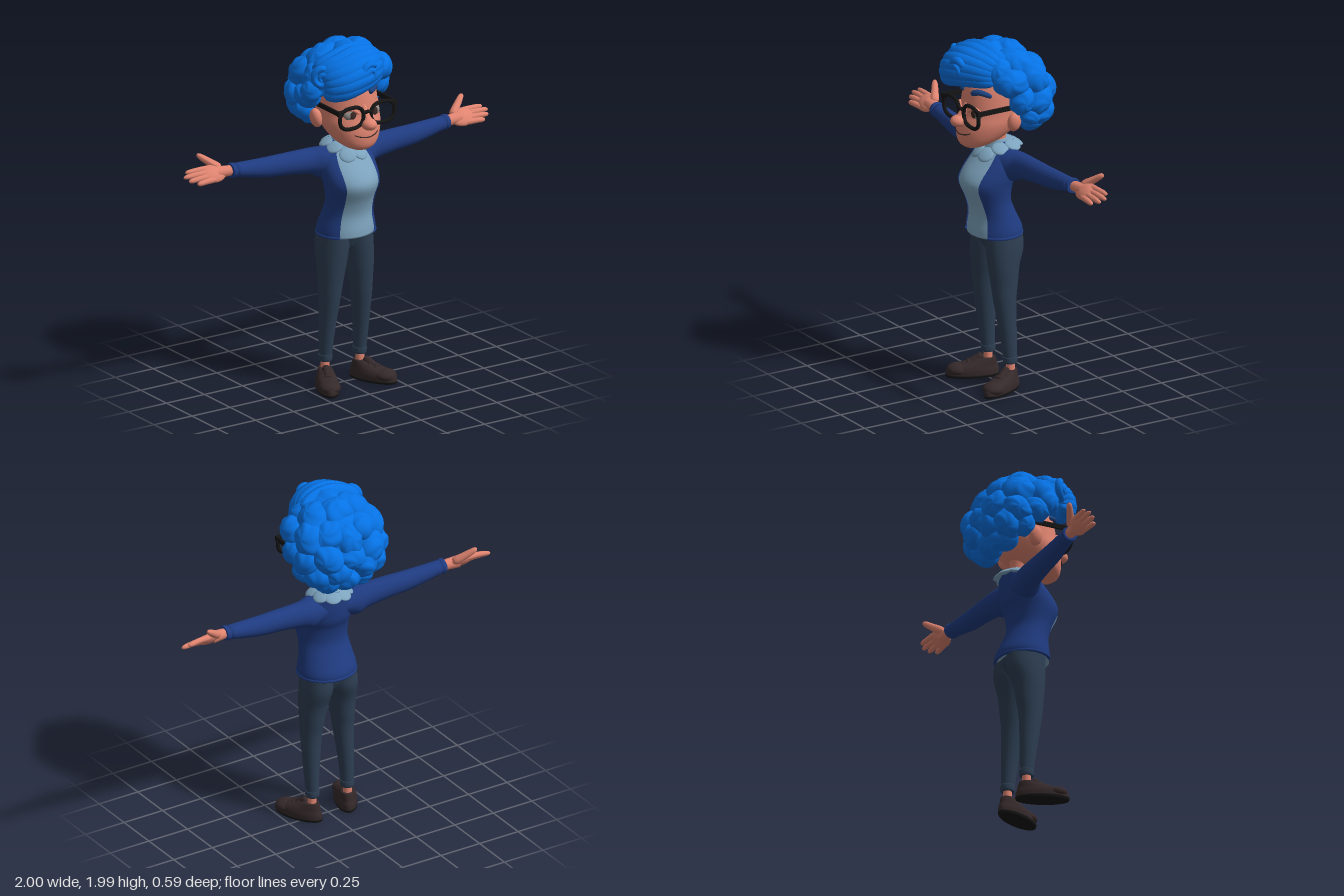
import * as THREE from 'three';

const mat = (name, color, side = THREE.FrontSide) => {
  const m = new THREE.MeshStandardMaterial({ color, side });
  m.name = name;
  return m;
};
const V = (x, y, z) => new THREE.Vector3(x, y, z);

// Lofted body: sections are [y, centreX, centreZ, radiusX, radiusZ], rising in y
function loft(secs, { a0 = 0, a1 = Math.PI * 2, grow = 0, n = 40, m = 40 } = {}) {
  const mid = new THREE.CatmullRomCurve3(secs.map(s => V(s[1], s[0], s[2])), false, 'catmullrom');
  const rad = new THREE.CatmullRomCurve3(secs.map(s => V(s[3], 0, s[4])), false, 'catmullrom');
  const closed = a1 - a0 > 6.28, cols = closed ? m : m + 1, pos = [], idx = [];
  const ring = (t, k) => {
    const c = mid.getPoint(t), r = rad.getPoint(t);
    for (let j = 0; j < cols; j++) {
      const a = a0 + (a1 - a0) * j / m;
      pos.push(c.x + k * (r.x + grow) * Math.sin(a), c.y, c.z + k * (r.z + grow) * Math.cos(a));
    }
  };
  if (closed) ring(0, 0.001);
  for (let i = 0; i <= n; i++) ring(i / n, 1);
  if (closed) ring(1, 0.001);
  const rows = pos.length / 3 / cols;
  for (let i = 0; i < rows - 1; i++) for (let j = 0; j < m; j++) {
    const a = i * cols + j, b = i * cols + (j + 1) % cols;
    idx.push(a, b, b + cols, a, b + cols, a + cols);
  }
  const g = new THREE.BufferGeometry();
  g.setAttribute('position', new THREE.Float32BufferAttribute(pos, 3));
  g.setIndex(idx);
  g.computeVertexNormals();
  return g;
}

// Tube whose radius follows r(t); used for fingers, locks and brows
function taper(points, r, n = 24, m = 12) {
  const curve = new THREE.CatmullRomCurve3(points);
  const g = new THREE.TubeGeometry(curve, n, 1, m), p = g.attributes.position, v = V(0, 0, 0);
  for (let i = 0; i <= n; i++) {
    const c = curve.getPointAt(i / n);
    for (let j = 0; j <= m; j++) {
      const k = i * (m + 1) + j;
      v.fromBufferAttribute(p, k).sub(c).multiplyScalar(r(i / n)).add(c);
      p.setXYZ(k, v.x, v.y, v.z);
    }
  }
  g.computeVertexNormals();
  return g;
}
const rounded = (r0, r1 = r0) => t => (r0 + (r1 - r0) * t) * Math.pow(Math.max(0.0001, 1 - Math.pow(Math.abs(2 * t - 1), 6)), 0.5);

export function createModel() {
  const root = new THREE.Group();
  root.name = 'woman';
  const hair = mat('hair blue', 0x0672e4), skin = mat('skin', 0xdf8470), shirt = mat('shirt light blue', 0x7da3bd);
  const cardigan = mat('cardigan navy', 0x1f3b80, THREE.DoubleSide), trousers = mat('trousers slate', 0x2d3e52);
  const shoe = mat('shoe brown', 0x35292a), black = mat('frame black', 0x151515), browMat = mat('brow blue', 0x1c427f);
  const white = mat('eye grey', 0x928a86), dark = mat('iris dark', 0x3a2824);
  const add = (name, geo, material, parent = root) => {
    const mesh = new THREE.Mesh(geo, material);
    mesh.name = name;
    parent.add(mesh);
    return mesh;
  };
  const ball = (name, p, s, material, parent = root) => {
    const mesh = add(name, new THREE.SphereGeometry(1, 28, 20), material, parent);
    mesh.position.set(...p);
    mesh.scale.set(...s);
    return mesh;
  };

  // Shirt body with the open cardigan shell over it
  const torso = [[0.88, 0, 0.015, 0.163, 0.142], [0.92, 0, 0.015, 0.162, 0.14], [1.0, 0, 0.03, 0.145, 0.117],
    [1.08, 0, 0.055, 0.137, 0.114], [1.17, 0, 0.07, 0.15, 0.14], [1.23, 0, 0.05, 0.157, 0.144],
    [1.3, 0, 0.015, 0.155, 0.117], [1.35, 0, -0.01, 0.135, 0.092], [1.385, 0, -0.03, 0.1, 0.072], [1.41, 0, -0.035, 0.06, 0.055]];
  add('shirt', loft(torso), shirt);
  add('cardigan', loft(torso, { a0: 0.72, a1: Math.PI * 2 - 0.72, grow: 0.006 }), cardigan);
  const hem = [];
  for (let i = 0; i <= 24; i++) {
    const a = 0.72 + (Math.PI * 2 - 1.44) * i / 24;
    hem.push(V(0.165 * Math.sin(a), 0.885, 0.015 + 0.145 * Math.cos(a)));
  }
  add('cardiganHem', taper(hem, () => 0.009, 60, 8), cardigan);

  // Scalloped collar lying on the shoulders, with a band at the neck
  for (let i = 0; i < 8; i++) {
    const a = (i + 0.5) * Math.PI / 4, f = Math.cos(a), front = Math.max(0, f) ** 2;
    const p = V((0.085 + 0.02 * front) * Math.sin(a), 1.39 - 0.05 * front, -0.022 + (f > 0 ? 0.125 : 0.085) * f);
    const petal = ball('collarPetal', p.toArray(), [0.048, 0.046, 0.014], shirt);
    petal.lookAt(p.x + Math.sin(a), p.y + 2 - 1.1 * front, p.z + f);
  }
  add('collarBand', loft([[1.37, 0, -0.02, 0.085, 0.08], [1.395, 0, -0.02, 0.07, 0.068], [1.42, 0, -0.02, 0.06, 0.058]], { n: 10 }), shirt);

  // Pelvis
  add('trouserSeat', loft([[0.775, 0, 0, 0.04, 0.045], [0.8, 0, 0, 0.1, 0.075], [0.85, 0, 0, 0.145, 0.1], [0.9, 0, 0.005, 0.155, 0.115]]), trousers);

  for (const s of [1, -1]) {
    // Leg, ankle and shoe
    add('trouserLeg', loft([[0.15, 0.113, -0.018, 0.034, 0.037], [0.3, 0.112, -0.007, 0.043, 0.048], [0.5, 0.104, 0.01, 0.058, 0.065],
      [0.6, 0.098, 0.01, 0.067, 0.077], [0.7, 0.09, 0.009, 0.079, 0.09], [0.8, 0.08, -0.002, 0.088, 0.11], [0.89, 0.072, 0, 0.087, 0.112]]
      .map(q => [q[0], q[1] * s, ...q.slice(2)])), trousers);
    add('trouserCuff', loft([[0.142, 0.113 * s, -0.018, 0.035, 0.038], [0.155, 0.113 * s, -0.018, 0.038, 0.041], [0.18, 0.113 * s, -0.017, 0.038, 0.041]], { n: 10 }), trousers);
    const ankle = add('ankle', new THREE.CylinderGeometry(0.024, 0.026, 0.12, 24), skin);
    ankle.position.set(0.115 * s, 0.11, -0.018);
    const foot = new THREE.Group();
    foot.name = 'shoe';
    foot.position.set(0.115 * s, 0, -0.02);
    foot.rotation.y = 0.42 * s;
    root.add(foot);
    add('shoeSole', loft([[0, 0, 0.088, 0.06, 0.146], [0.014, 0, 0.088, 0.063, 0.15]], { n: 4 }), black, foot);
    add('shoeUpper', loft([[0.012, 0, 0.088, 0.061, 0.148], [0.04, 0, 0.086, 0.061, 0.144], [0.062, 0, 0.075, 0.055, 0.125],
      [0.085, 0, 0.035, 0.045, 0.08], [0.105, 0, 0.008, 0.036, 0.047]], { n: 24 }), shoe, foot);
    ball('shoeToe', [0, 0.04, 0.165], [0.06, 0.036, 0.064], shoe, foot);
    add('shoeTongue', taper([V(0, 0.07, 0.12), V(0, 0.098, 0.06), V(0, 0.118, 0.03)], rounded(0.018, 0.024)), shoe, foot);
    for (const [z, y] of [[0.075, 0.1], [0.112, 0.088]]) {
      add('shoeLace', taper([V(-0.045, y - 0.035, z), V(0, y, z), V(0.045, y - 0.035, z)], rounded(0.01), 16, 8), shoe, foot);
    }

    // Sleeve and cuff, lofted upright then turned sideways
    const sleeve = [[0.05, 1.302, -0.012, 0.065, 0.085], [0.1, 1.297, -0.014, 0.081, 0.088], [0.15, 1.294, -0.027, 0.087, 0.08], [0.21, 1.307, -0.04, 0.073, 0.064],
      [0.35, 1.317, -0.045, 0.063, 0.056], [0.5, 1.324, -0.05, 0.056, 0.051], [0.69, 1.346, -0.056, 0.038, 0.042]];
    const turn = secs => loft(secs.map(q => [q[0], -s * q[1], q[2], q[3], q[4]])).rotateZ(-s * Math.PI / 2);
    add('sleeve', turn(sleeve), cardigan);
    add('sleeveCuff', turn([[0.685, 1.347, -0.056, 0.038, 0.042], [0.695, 1.347, -0.056, 0.043, 0.046], [0.712, 1.347, -0.056, 0.04, 0.043]]), cardigan);

    // Hand: palm turned up and forward, thumb at the back
    const hand = new THREE.Group();
    hand.name = 'hand';
    root.add(hand);
    const P = (x, y, z) => V(x * s, y, z);
    add('wrist', taper([P(0.68, 1.347, -0.056), P(0.74, 1.349, -0.06), P(0.8, 1.35, -0.065)], t => 0.028 + 0.006 * t), skin, hand);
    ball('palm', [0.815 * s, 1.349, -0.065], [0.077, 0.056, 0.026], skin, hand).rotation.x = -0.82;
    add('thumb', taper([P(0.76, 1.362, -0.076), P(0.825, 1.41, -0.118), P(0.873, 1.448, -0.147)], rounded(0.027, 0.015)), skin, hand);
    [[0.975, 1.37, -0.105], [1.0, 1.353, -0.083], [0.985, 1.336, -0.055], [0.945, 1.32, -0.028]].forEach((tip, i) => {
      const u = 0.036 - i * 0.024, base = P(0.81, 1.349 + 0.68 * u, -0.065 - 0.73 * u), end = P(...tip);
      add('finger', taper([base, base.clone().lerp(end, 0.55).add(V(0, 0.003, 0.003)), end], rounded(0.0185, 0.014)), skin, hand);
    });

    // Ear
    ball('ear', [0.185 * s, 1.565, 0], [0.032, 0.056, 0.04], skin).rotation.z = -0.2 * s;
  }

  // Neck and head, the jaw rising towards the back
  add('neck', loft([[1.35, 0, -0.02, 0.055, 0.05], [1.42, 0, -0.01, 0.045, 0.045], [1.5, 0, 0, 0.055, 0.06]]), skin);
  const skull = [[1.403, 0, 0.165, 0.045, 0.035], [1.42, 0, 0.147, 0.085, 0.075], [1.45, 0, 0.113, 0.122, 0.12], [1.5, 0, 0.072, 0.152, 0.163],
    [1.55, 0, 0.045, 0.168, 0.18], [1.6, 0, 0.022, 0.17, 0.185], [1.68, 0, 0.01, 0.166, 0.186], [1.75, 0, 0, 0.155, 0.18],
    [1.84, 0, -0.01, 0.12, 0.14], [1.9, 0, -0.01, 0.03, 0.04]];
  add('head', loft(skull), skin);
  const faceZ = (x, y) => {
    const i = skull.findIndex(q => q[0] >= y), a = skull[i - 1], b = skull[i], t = (y - a[0]) / (b[0] - a[0]);
    const f = k => a[k] + (b[k] - a[k]) * t;
    return f(2) + f(4) * Math.sqrt(Math.max(0, 1 - (x / f(3)) ** 2));
  };
  const onFace = (x, y, lift = 0) => V(x, y, faceZ(x, y) + lift);
  ball('nose', [0, 1.562, 0.242], [0.042, 0.034, 0.048], skin);
  add('noseBridge', taper([V(0, 1.66, 0.185), V(0, 1.61, 0.21), V(0, 1.565, 0.24)], t => 0.014 + 0.014 * t), skin);
  add('mouth', taper([-0.08, -0.045, 0, 0.045, 0.08].map(x => onFace(x, 1.485 + 3 * x * x, 0.002)), rounded(0.0035), 30, 8), dark);

  // Eyes, brows and glasses
  for (const s of [1, -1]) {
    const eye = onFace(0.075 * s, 1.61);
    ball('eyeball', [eye.x, eye.y, eye.z - 0.018], [0.04, 0.032, 0.027], white);
    ball('iris', [eye.x - 0.006 * s, eye.y, eye.z + 0.005], [0.022, 0.023, 0.007], dark);
    add('eyelid', taper([-0.042, 0, 0.042].map(d => onFace(0.075 * s + d, d ? 1.615 : 1.643, 0.004)), rounded(0.009)), skin);
    add('eyebrow', taper([onFace(0.04 * s, 1.72, 0.006), onFace(0.085 * s, 1.735, 0.008), onFace(0.135 * s, 1.715, 0.006)], rounded(0.019, 0.013)), browMat);

    const rim = [];
    for (let i = 0; i < 24; i++) {
      const c = Math.cos(i * Math.PI / 12), d = Math.sin(i * Math.PI / 12);
      rim.push(V(0.102 * s + 0.077 * Math.sign(c) * Math.abs(c) ** 0.8, 1.61 + 0.06 * Math.sign(d) * Math.abs(d) ** 0.8, 0.225));
    }
    add('glassesRim', new THREE.TubeGeometry(new THREE.CatmullRomCurve3(rim, true), 64, 0.011, 10, true), black);
    const temple = add('glassesTemple', new THREE.BoxGeometry(0.012, 0.026, 0.28), black);
    temple.position.set(0.184 * s, 1.65, 0.092);
    const hinge = add('glassesHinge', new THREE.BoxGeometry(0.028, 0.03, 0.02), black);
    hinge.position.set(0.177 * s, 1.65, 0.225);
  }
  add('glassesBridge', taper([V(-0.03, 1.625, 0.225), V(0, 1.633, 0.232), V(0.03, 1.625, 0.225)], () => 0.01), black);

  // Hair: core plus swirling grooved curls
  ball('hairCore', [0, 1.73, -0.08], [0.2, 0.2, 0.165], hair);
  const curlGeo = new THREE.SphereGeometry(1, 40, 20), cp = curlGeo.attributes.position;
  for (let i = 0; i < cp.count; i++) {
    const p = V(0, 0, 0).fromBufferAttribute(cp, i), th = Math.acos(p.y), ph = Math.atan2(p.z, p.x);
    p.multiplyScalar(1 + 0.045 * Math.sin(th) * Math.sin(5 * ph + 4 * th));
    cp.setXYZ(i, p.x, p.y, p.z);
  }
  curlGeo.computeVertexNormals();
  curlGeo.rotateX(Math.PI / 2);
  const sides = [[0.2, 1.8, 0.03, 0.083], [0.23, 1.7, -0.02, 0.07], [0.215, 1.6, -0.085, 0.058], [0.222, 1.68, -0.13, 0.075],
    [0.185, 1.8, -0.11, 0.09], [0.18, 1.6, -0.17, 0.073], [0.11, 1.545, -0.16, 0.075], [0.11, 1.865, -0.04, 0.1],
    [0.105, 1.81, -0.15, 0.09], [0.135, 1.71, -0.205, 0.085], [0.09, 1.62, -0.22, 0.075]];
  const middle = [[0, 1.88, -0.07, 0.1], [0, 1.78, -0.185, 0.09], [0, 1.69, -0.22, 0.08], [0, 1.545, -0.185, 0.072], [0, 1.895, 0.04, 0.09],
    [-0.05, 1.83, 0.1, 0.11], [0.13, 1.855, 0.06, 0.075], [-0.16, 1.85, 0.08, 0.08], [-0.245, 1.75, 0.045, 0.062]];
  [...sides, ...sides.map(c => [-c[0], ...c.slice(1)]), ...middle].forEach(([x, y, z, r], i) => {
    const curl = add('hairCurl', curlGeo, hair);
    curl.position.set(x, y, z);
    curl.lookAt(2 * x, 2 * y - 1.72, 2 * z + 0.06);
    curl.rotateZ(i * 1.3);
    curl.scale.set(r * 1.18, r * 0.97, r * 0.95);
  });

  // Quiff swept from the back right of the crown to the front left
  for (let i = 0; i < 7; i++) {
    const f = -0.35 + i * 0.32, c = Math.cos(f), d = Math.sin(f);
    add('quiffLock', taper([V(0.15, 1.825 + 0.07 * d, 0.03 + 0.07 * c), V(0.08, 1.84 + 0.085 * d, 0.06 + 0.12 * c), V(-0.03, 1.835 + 0.105 * d, 0.075 + 0.162 * c),
      V(-0.14, 1.805 + 0.105 * d, 0.08 + 0.145 * c), V(-0.235, 1.775 + 0.09 * d, 0.05 + 0.1 * c)], rounded(0.045, 0.05), 32, 14), hair);
  }

  // Rolled curls at the ends of the locks
  const spiral = (x, y, z, r, yaw, roll) => {
    const pts = [];
    for (let i = 0; i <= 18; i++) {
      const a = i * 0.55, q = r * (1 - i / 21);
      pts.push(V(q * Math.cos(a), q * Math.sin(a), 0.025 * i / 18));
    }
    const m = add('hairSpiral', taper(pts, rounded(r * 0.44, r * 0.22), 60, 12), hair);
    m.position.set(x, y, z);
    m.rotation.set(0, yaw, roll);
  };
  spiral(-0.005, 1.86, 0.245, 0.055, 0.1, 0.4);
  spiral(-0.13, 1.815, 0.225, 0.055, -0.35, 2.4);
  spiral(-0.225, 1.84, 0.13, 0.058, -0.7, 1.2);
  return root;
}
